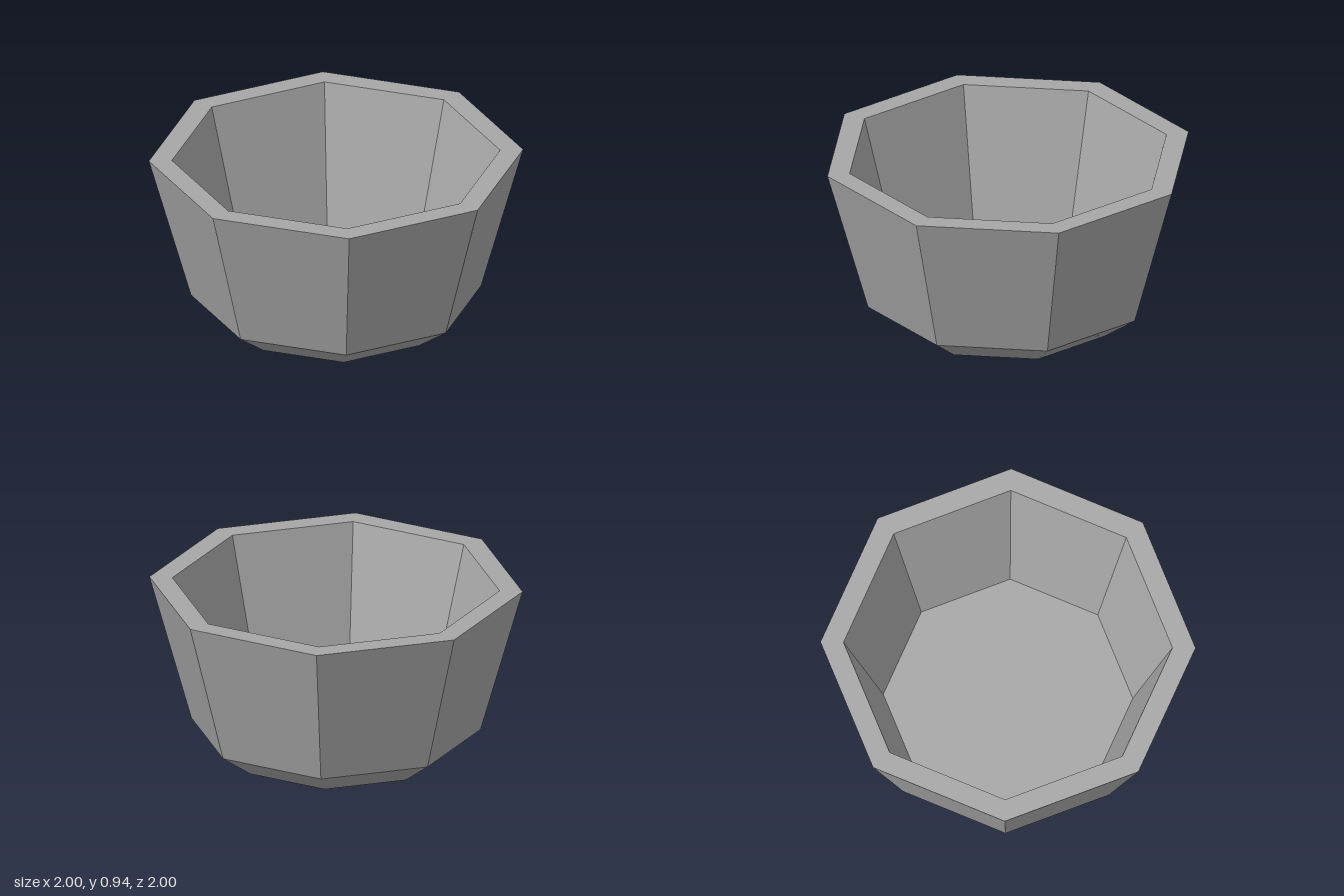
import * as THREE from 'three';

const SIDES = 8;
const TOP = 0.94, BAND = 0.135, FLOOR = 0.14;
const OUTER_TOP = 1, OUTER_LOW = 0.775, FOOT = 0.59;
const INNER_TOP = 0.877, INNER_LOW = 0.665;

export function createModel() {
  const group = new THREE.Group();
  group.name = 'bowl';

  const color = 0xa6a6a6;
  const stone = new THREE.MeshStandardMaterial({ color });
  stone.name = 'stone grey';

  const add = (name, geometry, y) => {
    const mesh = new THREE.Mesh(geometry, stone);
    mesh.name = name;
    mesh.position.y = y;
    group.add(mesh);
  };

  // Open eight-sided tapered band; faceted ones get a normal per face
  const band = (rTop, rLow, yTop, yLow, faceted) => {
    const g = new THREE.CylinderGeometry(rTop, rLow, yTop - yLow, SIDES, 1, true);
    g.translate(0, (yTop - yLow) / 2, 0);
    if (!faceted) return g;
    const flat = g.toNonIndexed();
    flat.computeVertexNormals();
    return flat;
  };

  // Outer wall, with a smoothly shaded bevel under it
  add('outerWall', band(OUTER_TOP, OUTER_LOW, TOP, BAND, true), BAND);
  add('lowerBevel', band(OUTER_LOW, FOOT, BAND, 0, false), 0);

  // Inner wall is the same band turned inside out
  const inner = band(INNER_TOP, INNER_LOW, TOP, FLOOR, true);
  const p = inner.attributes.position;
  for (let i = 0; i < p.count; i += 3) {
    const b = new THREE.Vector3().fromBufferAttribute(p, i + 1);
    const c = new THREE.Vector3().fromBufferAttribute(p, i + 2);
    p.setXYZ(i + 1, c.x, c.y, c.z);
    p.setXYZ(i + 2, b.x, b.y, b.z);
  }
  inner.computeVertexNormals();
  add('innerWall', inner, FLOOR);

  // Rim, inside floor and underside
  add('rim', new THREE.RingGeometry(INNER_TOP, OUTER_TOP, SIDES).rotateX(-Math.PI / 2), TOP);
  add('innerFloor', new THREE.CircleGeometry(INNER_LOW, SIDES).rotateX(-Math.PI / 2), FLOOR);
  add('underside', new THREE.CircleGeometry(FOOT, SIDES).rotateX(Math.PI / 2), 0);

  return group;
}
